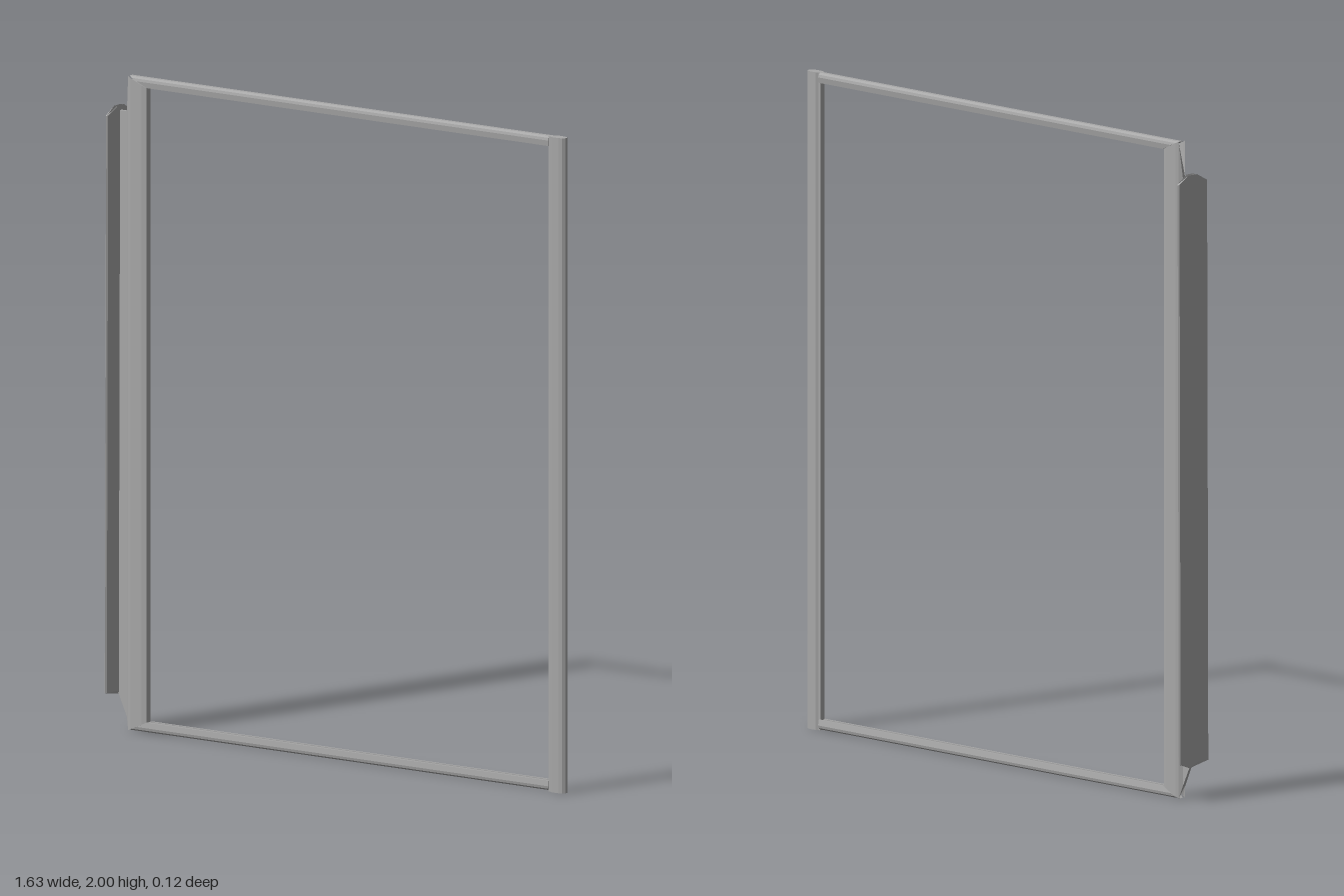
import * as THREE from 'three';

const steel = new THREE.MeshStandardMaterial({ color: 0xa8a8a8, side: THREE.DoubleSide });
steel.name = 'greySteel';

// Extrude a closed profile by one unit, then place each vertex by a rule (a, b, t) -> [x, y, z]
function bar(name, profile, place) {
  const shape = new THREE.Shape(profile.map(([a, b]) => new THREE.Vector2(a, b)));
  const geo = new THREE.ExtrudeGeometry(shape, { depth: 1, steps: 1, bevelEnabled: false });
  const p = geo.attributes.position;
  for (let i = 0; i < p.count; i++) p.setXYZ(i, ...place(p.getX(i), p.getY(i), p.getZ(i)));
  geo.computeVertexNormals();
  const mesh = new THREE.Mesh(geo, steel);
  mesh.name = name;
  return mesh;
}

// Straight-line interpolation through [x, value] pairs
function along(table, x) {
  for (let i = 1; i < table.length; i++) {
    const [x0, v0] = table[i - 1], [x1, v1] = table[i];
    if (x <= x1 + 1e-6) return v0 + (v1 - v0) * (x - x0) / (x1 - x0);
  }
  return table[table.length - 1][1];
}

// Close a half outline of [x, halfThickness] into a symmetric (z, x) profile
const symmetric = half => [
  ...half.map(([x, z]) => [z, x]),
  ...half.slice().reverse().map(([x, z]) => [-z, x]),
];

export function createModel() {
  const group = new THREE.Group();
  group.name = 'frame';

  // Top and bottom rails: rounded channels, mitred where they meet the wide post
  const rail = [[0, -0.009], [0, 0.004], [-0.005, 0.01], [-0.013, 0.012], [-0.03, 0.01],
    [-0.03, 0.003], [-0.022, 0.003], [-0.022, -0.009], [-0.03, -0.009], [-0.03, -0.015],
    [-0.013, -0.018], [-0.005, -0.016]];
  for (const top of [true, false]) {
    const profile = rail.map(([d, z]) => [top ? 2 + d : 0.005 - d, z]);
    group.add(bar(top ? 'topRail' : 'bottomRail', profile, (y, z, t) => {
      const inset = top ? 2 - y : y - 0.005;
      const start = -0.765 + inset / 0.03 * 0.065;
      return [start + (0.758 - start) * t, y, z];
    }));
  }

  // Wide hinge-side post narrowing to a thin web, with slanted ends
  const postHalf = [[-0.81, 0.004], [-0.775, 0.005], [-0.765, 0.013], [-0.755, 0.016],
    [-0.715, 0.015], [-0.7, 0.011]];
  const postTop = [[-0.81, 1.89], [-0.775, 1.89], [-0.765, 2], [-0.7, 1.97]];
  const postBottom = [[-0.81, 0.12], [-0.79, 0.1], [-0.765, 0.005], [-0.7, 0.035]];
  group.add(bar('widePost', symmetric(postHalf), (z, x, t) => {
    const low = along(postBottom, x);
    return [x, low + (along(postTop, x) - low) * t, z];
  }));

  // Crosswise flange plate on the outer edge, leaning slightly
  const flange = symmetric([[-0.817, 0.058], [-0.813, 0.062], [-0.809, 0.058], [-0.803, 0.015]]);
  flange.push([-0.018, -0.815], [0.018, -0.815]);
  group.add(bar('flangePlate', flange, (z, x, t) => {
    const high = 1.88 + (0.062 - Math.abs(z)) * 0.55;
    const low = z < 0 && z > -0.02 ? 0.105 : 0.12;
    return [x - 0.002 + 0.005 * t, low + (high - low) * t, z];
  }));

  // Slim closing post with rounded outer edge
  const slimHalf = [[0.757, 0.009], [0.765, 0.01], [0.772, 0.015], [0.797, 0.015],
    [0.808, 0.012], [0.815, 0.005]];
  group.add(bar('slimPost', symmetric(slimHalf), (z, x, t) => [x, 0.002 + 1.998 * t, z]));

  return group;
}
